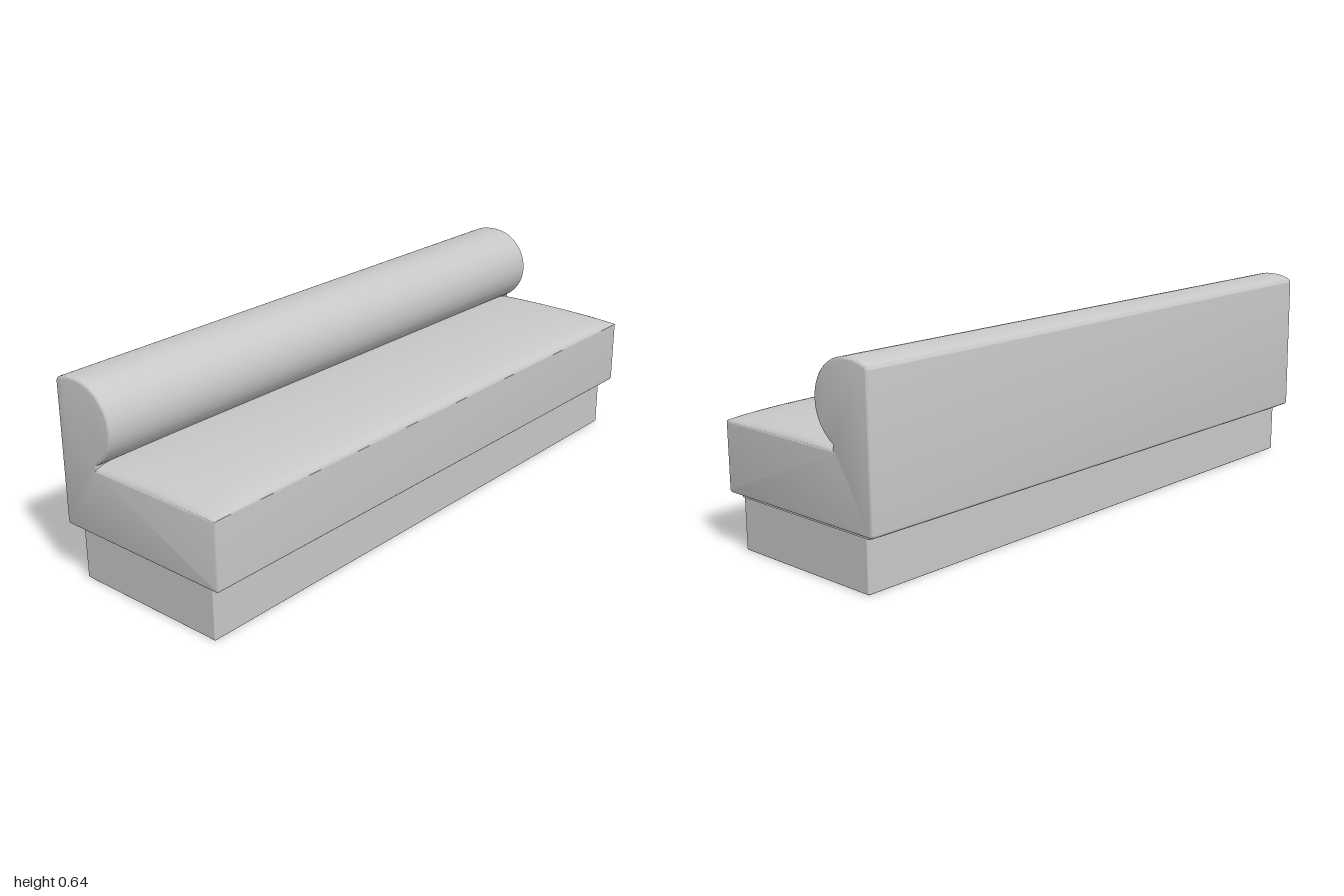
import * as THREE from 'three';
import { toCreasedNormals } from 'three/addons/utils/BufferGeometryUtils.js';
import { RoundedBoxGeometry } from 'three/addons/geometries/RoundedBoxGeometry.js';

export function createModel() {
  const group = new THREE.Group();
  const upholstery = new THREE.MeshStandardMaterial({ color: 0xc8c8c8 });
  upholstery.name = 'light grey';

  const add = (name, geometry, x = 0, y = 0, z = 0) => {
    const mesh = new THREE.Mesh(geometry, upholstery);
    mesh.name = name;
    mesh.position.set(x, y, z);
    group.add(mesh);
    return mesh;
  };

  // Recessed plinth and the thin spacer under the body
  add('plinth', new RoundedBoxGeometry(1.95, 0.17, 0.535, 2, 0.004), 0, 0.085, 0.002);
  add('spacer', new THREE.BoxGeometry(1.955, 0.014, 0.552), 0, 0.167, -0.004);

  // Side profile of seat block and rolled backrest (shape x is -z)
  const s = new THREE.Shape();
  s.moveTo(-0.3, 0.171);
  s.lineTo(0.3, 0.171);
  s.quadraticCurveTo(0.311, 0.171, 0.311, 0.185);
  s.lineTo(0.307, 0.615);
  s.quadraticCurveTo(0.307, 0.628, 0.297, 0.632);
  s.bezierCurveTo(0.275, 0.641, 0.25, 0.644, 0.225, 0.644);
  s.bezierCurveTo(0.15, 0.644, 0.091, 0.588, 0.091, 0.515);
  s.bezierCurveTo(0.091, 0.465, 0.12, 0.425, 0.16, 0.4);
  s.lineTo(0.16, 0.385);
  s.lineTo(-0.311, 0.385);
  s.lineTo(-0.311, 0.182);
  s.quadraticCurveTo(-0.311, 0.171, -0.3, 0.171);

  const bevel = 0.007;
  const body = new THREE.ExtrudeGeometry(s, {
    depth: 1.99 - 2 * bevel,
    curveSegments: 14,
    bevelEnabled: true,
    bevelSize: bevel,
    bevelThickness: bevel,
    bevelOffset: -bevel,
    bevelSegments: 3,
  });
  body.translate(0, 0, -(1.99 / 2 - bevel));
  body.rotateY(Math.PI / 2);
  add('seatBlockAndBackrest', toCreasedNormals(body, 0.6));

  // Crowned seat top, with rows bunched towards the edges
  const crown = new THREE.PlaneGeometry(2, 2, 40, 24);
  crown.rotateX(-Math.PI / 2);
  const p = crown.attributes.position;
  for (let i = 0; i < p.count; i++) {
    const u = Math.sin(p.getX(i) * Math.PI / 2);
    const t = Math.sin(p.getZ(i) * Math.PI / 2);
    const acrossX = Math.sqrt(Math.max(0, 1 - u ** 8));
    const acrossZ = Math.max(0, 1 - t * t) ** 0.4;
    p.setXYZ(i, u * 0.995, 0.384 + 0.042 * acrossX * acrossZ, 0.05 + t * 0.261);
  }
  crown.computeVertexNormals();
  add('seatCrown', crown);

  return group;
}
